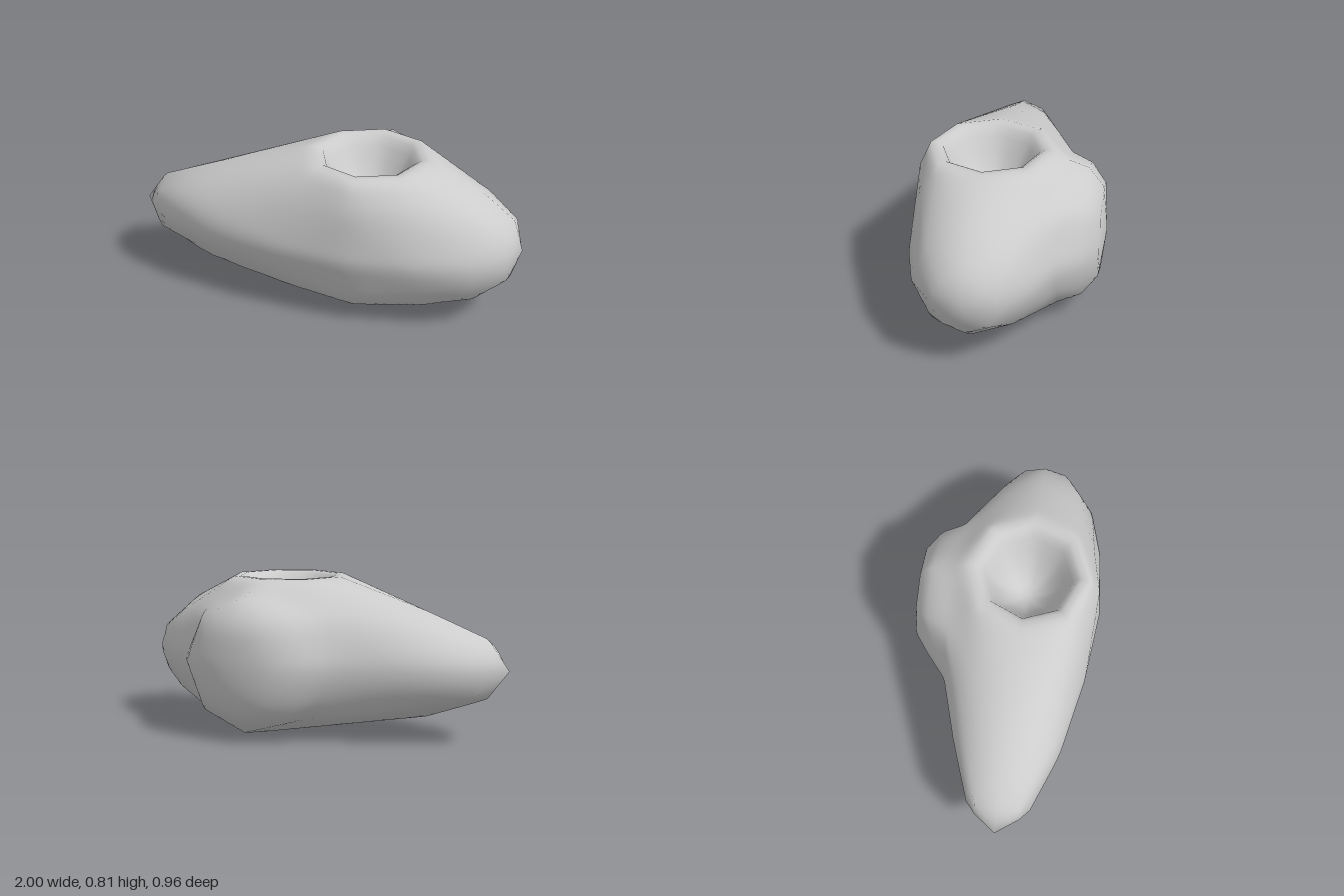
import * as THREE from 'three';
import { ConvexGeometry } from 'three/addons/geometries/ConvexGeometry.js';

const CENTRE = new THREE.Vector3(0.22, 0.38, 0.1);
const SIDES = 128, RINGS = 96;
const V = (x, y, z) => new THREE.Vector3(x, y, z);

// Eight points on a circle, placed by a function of the two circle coordinates
const ring = (r, place) => Array.from({ length: 8 }, (_, i) => {
  const a = i * Math.PI / 4;
  return place(r * Math.cos(a), r * Math.sin(a));
});

// Radius of a unit octagon with a corner at angle 0
const octagon = (a) => {
  const step = Math.PI / 4;
  return Math.cos(Math.PI / 8) / Math.cos((a % step) - Math.PI / 8);
};

// Long body: x from the centre, radius
const BODY = [[-1.11, 0.15], [-0.79, 0.27], [-0.38, 0.35], [0, 0.385],
  [0.34, 0.35], [0.58, 0.28], [0.73, 0.16]];
// Hollow in the top, out to the rim: radius, height from the centre
const HOLLOW = [[0, 0.13], [0.05, 0.14], [0.1, 0.175], [0.145, 0.23], [0.185, 0.295],
  [0.22, 0.36], [0.24, 0.405], [0.265, 0.42], [0.3, 0.42]];
const [RIM_R, RIM_H] = HOLLOW[HOLLOW.length - 1];

// Wide ring where the body runs into the back bulge
const shoulder = [V(-0.47, 0, -0.37), V(0.42, 0, -0.37)];
for (const s of [-1, 1]) {
  shoulder.push(V(-0.3, s * 0.26, -0.37), V(0.29, s * 0.26, -0.37), V(0, s * 0.375, s > 0 ? -0.38 : -0.3));
}

// Each hull is kept as its planes: outward normal and distance from the centre
function hullPlanes(points) {
  const p = new ConvexGeometry(points).attributes.position;
  const planes = [];
  for (let i = 0; i < p.count; i += 3) {
    const [a, b, c] = [0, 1, 2].map((k) => V().fromBufferAttribute(p, i + k));
    const n = b.sub(a).cross(c.sub(a)).normalize();
    planes.push({ n, w: n.dot(a) });
  }
  return planes;
}

const HULLS = [
  // Body with the raised neck and the shoulder
  hullPlanes([
    V(-1.22, 0, 0), V(0.78, 0, 0),
    ...BODY.flatMap(([x, r]) => ring(r, (u, v) => V(x, u, v))),
    ...ring(RIM_R, (u, v) => V(u, RIM_H, v)),
    V(0, 0.29, 0.36), V(-0.22, 0.28, 0.31), V(0.22, 0.28, 0.31), V(0, -0.28, 0.29),
    ...shoulder,
  ]),
  // Back bulge
  hullPlanes([
    ...ring(0.3, (u, v) => V(u, v, 0.05)), ...shoulder,
    ...ring(0.34, (u, v) => V(u, v, -0.48)), ...ring(0.24, (u, v) => V(u, v, -0.555)),
    V(0, 0, -0.58),
  ]),
];

// Distance from the centre to the outermost hull along a direction
const reach = (dir) => Math.max(...HULLS.map((planes) => {
  let t = Infinity;
  for (const { n, w } of planes) {
    const d = n.dot(dir);
    if (d > 1e-6) t = Math.min(t, w / d);
  }
  return t;
}));

function skinGeometry() {
  const pos = [], index = [];
  const rows = HOLLOW.length + RINGS;
  for (let i = 0; i < rows; i++) {
    for (let j = 0; j < SIDES; j++) {
      const phi = (j / SIDES) * Math.PI * 2, c = Math.cos(phi), s = Math.sin(phi);
      const k = octagon(phi), p = V();
      if (i < HOLLOW.length) {
        const [r, h] = HOLLOW[i];
        p.set(c * r * k, h, s * r * k);
      } else {
        // Half the rings from the rim to the equator, half below it
        const start = Math.atan2(RIM_R * k, RIM_H), half = Math.PI / 2;
        const f = 2 * (i - HOLLOW.length + 1) / RINGS;
        const theta = f <= 1 ? start + (half - start) * f : half * f;
        p.set(c * Math.sin(theta), Math.cos(theta), s * Math.sin(theta));
        p.multiplyScalar(reach(p));
      }
      p.add(CENTRE);
      pos.push(p.x, p.y, p.z);
      if (i < rows - 1) {
        const j2 = (j + 1) % SIDES;
        const a = i * SIDES + j, b = i * SIDES + j2, d = a + SIDES, e = b + SIDES;
        if (i > 0) index.push(a, b, d);
        if (i < rows - 2) index.push(b, e, d);
      }
    }
  }
  const geo = new THREE.BufferGeometry();
  geo.setAttribute('position', new THREE.Float32BufferAttribute(pos, 3));
  geo.setIndex(index);
  geo.computeVertexNormals();
  softenNormals(geo, rows);
  return geo;
}

// Average the normals over neighbours so the skin shades as one soft form
function softenNormals(geo, rows) {
  const attr = geo.attributes.normal;
  let n = Array.from({ length: attr.count }, (_, i) => V().fromBufferAttribute(attr, i));
  for (let pass = 0; pass < 36; pass++) {
    n = n.map((v, q) => {
      const i = Math.floor(q / SIDES), j = q % SIDES;
      if (i === 0) return V(0, 1, 0);
      if (i === rows - 1) return V(0, -1, 0);
      const sum = v.clone();
      sum.add(n[i * SIDES + (j + 1) % SIDES]).add(n[i * SIDES + (j + SIDES - 1) % SIDES]);
      // The hollow and its rim stay tighter than the outer skin
      if (i >= HOLLOW.length || pass < 2) sum.add(n[q - SIDES]).add(n[q + SIDES]);
      return sum.normalize();
    });
  }
  n.forEach((v, i) => attr.setXYZ(i, v.x, v.y, v.z));
}

export function createModel() {
  const group = new THREE.Group();
  const body = new THREE.Mesh(skinGeometry(), new THREE.MeshStandardMaterial({ color: 0xcccccc }));
  body.name = 'hollowBody';
  group.add(body);
  return group;
}
